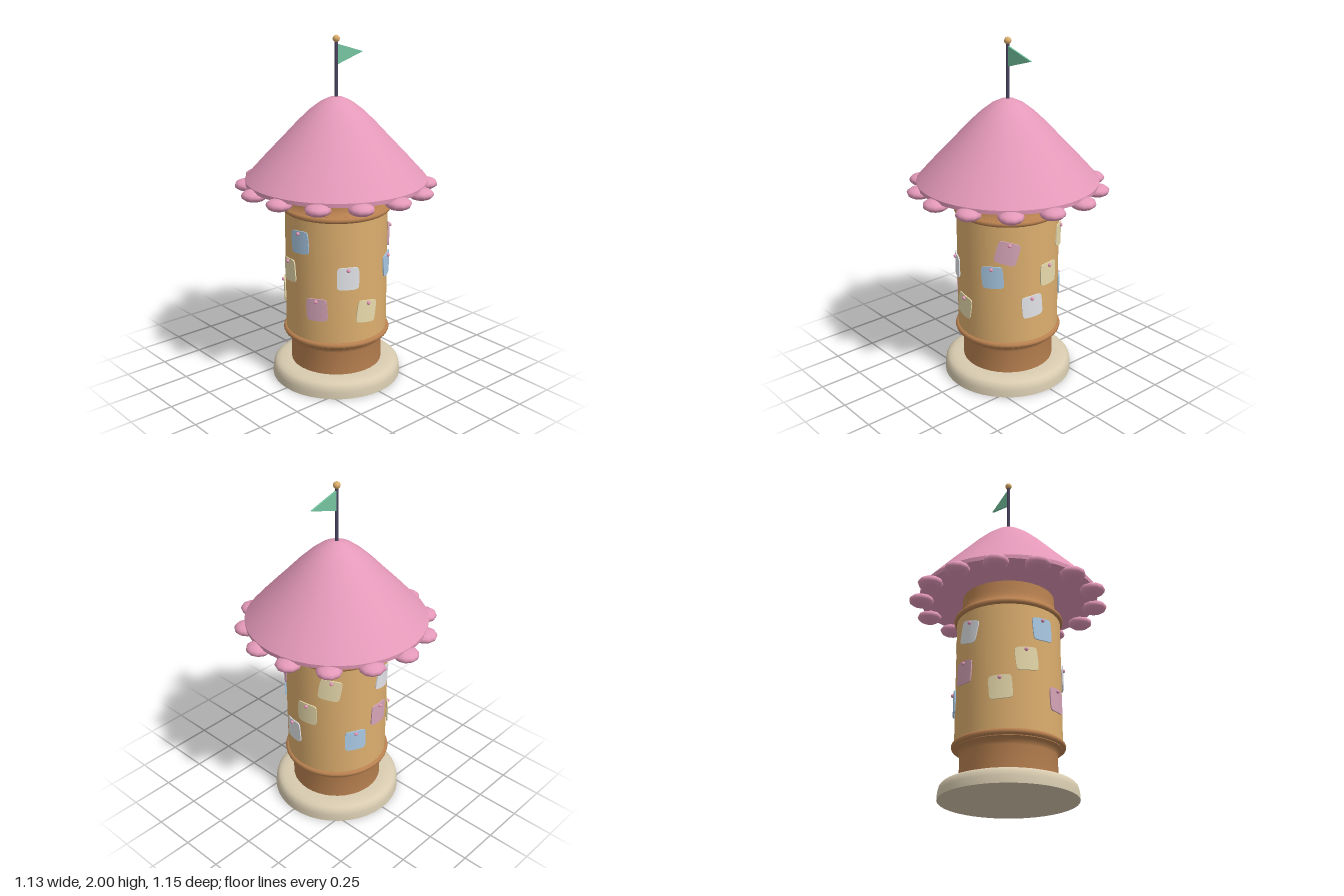
import * as THREE from 'three';
import { toCreasedNormals } from 'three/addons/utils/BufferGeometryUtils.js';

const paint = (name, color) => {
  const m = new THREE.MeshStandardMaterial({ color });
  m.name = name;
  return m;
};

export function createModel() {
  const model = new THREE.Group();
  model.name = 'noticeColumn';

  const stone = paint('stone', 0xd8cbb0);
  const wood = paint('brownWood', 0xb98150);
  const tan = paint('tanBoard', 0xdcae6e);
  const pink = paint('roofPink', 0xe499b9);
  const iron = paint('darkPole', 0x4a4460);
  const green = paint('flagGreen', 0x74c4a0);
  const papers = {
    white: paint('paperWhite', 0xe2e4e8),
    cream: paint('paperCream', 0xeee0b0),
    blue: paint('paperBlue', 0xa9c9e4),
    rose: paint('paperRose', 0xd6a5b8),
  };

  const add = (name, geometry, material, parent = model) => {
    const mesh = new THREE.Mesh(geometry, material);
    mesh.name = name;
    parent.add(mesh);
    return mesh;
  };
  // Turned part from [radius, height] pairs, listed bottom to top
  const lathe = (name, points, material, crease = 0.7) => {
    const g = new THREE.LatheGeometry(points.map(([r, y]) => new THREE.Vector2(r, y)), 40);
    return add(name, toCreasedNormals(g, crease), material);
  };

  // Base, column and drum
  lathe('base', [[0, 0], [0.38, 0], [0.378, 0.04], [0.372, 0.068], [0.357, 0.084],
    [0.33, 0.093], [0.29, 0.096], [0, 0.096]], stone);
  lathe('lowerColumn', [[0.266, 0.09], [0.266, 0.235], [0.27, 0.25], [0.28, 0.263],
    [0.295, 0.272], [0.295, 0.3]], wood);
  lathe('noticeDrum', [[0.295, 0.29], [0.295, 1.04]], tan);
  lathe('upperColumn', [[0.295, 1.03], [0.295, 1.055], [0.28, 1.068], [0.271, 1.09],
    [0.266, 1.12], [0.264, 1.19]], wood);
  for (const y of [0.292, 1.038]) {
    const ring = add('ring', new THREE.TorusGeometry(0.295, 0.017, 10, 48), wood);
    ring.rotation.x = Math.PI / 2;
    ring.position.y = y;
  }

  // Bell-shaped roof with a flat underside
  lathe('roof', [[0, 1.18], [0.515, 1.18], [0.517, 1.203], [0.48, 1.244], [0.4, 1.332],
    [0.3, 1.437], [0.22, 1.523], [0.15, 1.59], [0.09, 1.636], [0.04, 1.66], [0, 1.667]], pink, 0.6);

  // Bobbles around the eaves
  const bobbles = new THREE.Group();
  bobbles.name = 'eaveBobbles';
  model.add(bobbles);
  const bobbleShape = new THREE.SphereGeometry(0.072, 10, 8);
  bobbleShape.scale(1, 0.49, 1);
  for (let i = 0; i < 14; i++) {
    const a = (i / 14) * Math.PI * 2;
    const b = add('bobble', bobbleShape, pink, bobbles);
    b.position.set(0.505 * Math.sin(a), 1.164, 0.505 * Math.cos(a));
    b.rotation.y = a;
  }

  // Pole, ball and pennant
  add('pole', new THREE.CylinderGeometry(0.01, 0.01, 0.34, 10), iron).position.y = 1.81;
  add('ball', new THREE.SphereGeometry(0.02, 12, 10), tan).position.y = 1.98;
  const pennant = new THREE.Shape([[0.005, 1.84], [0.192, 1.896], [0.005, 1.952]]
    .map(([x, y]) => new THREE.Vector2(x, y)));
  add('pennant', new THREE.ExtrudeGeometry(pennant, { depth: 0.01, bevelEnabled: false }), green)
    .position.z = -0.005;

  // Paper notes: [angle, height, colour, tilt], angles in degrees from the front
  const notes = [
    [-28, 0.7, 'white', 0], [-6, 0.488, 'cream', -8], [33, 0.717, 'blue', 5],
    [49, 0.868, 'rose', -15], [-62, 0.508, 'rose', 3], [-83, 0.89, 'blue', 5],
    [-102, 0.7, 'cream', 6], [99, 0.705, 'cream', 0], [77, 0.53, 'white', 5],
    [126, 0.895, 'cream', -10], [154, 0.535, 'blue', 0], [193, 0.89, 'white', -14],
    [186, 0.66, 'rose', -4], [231, 0.535, 'cream', 4],
  ];
  // Thin sheet with softened corners, tilted and wrapped round the drum
  const noteShape = (tilt) => {
    const g = new THREE.BoxGeometry(2, 2, 0.007, 8, 8, 1);
    const p = g.attributes.position;
    for (let i = 0; i < p.count; i++) {
      const x = p.getX(i), y = p.getY(i);
      const soft = 1 - 0.09 * Math.pow(Math.abs(x * y), 5);
      const u = x * soft * 0.063, v = y * soft * 0.066;
      const a = (u * Math.cos(tilt) - v * Math.sin(tilt)) / 0.3;
      const r = 0.303 + p.getZ(i);
      p.setXYZ(i, r * Math.sin(a), u * Math.sin(tilt) + v * Math.cos(tilt), r * Math.cos(a));
    }
    return toCreasedNormals(g, 0.7);
  };
  const pinShape = new THREE.SphereGeometry(0.011, 10, 8);
  for (const [angle, y, colour, tiltDegrees] of notes) {
    const tilt = THREE.MathUtils.degToRad(tiltDegrees);
    const note = new THREE.Group();
    note.name = 'note';
    note.position.y = y;
    note.rotation.y = THREE.MathUtils.degToRad(angle);
    model.add(note);
    add('paper', noteShape(tilt), papers[colour], note);
    const a = (-0.05 * Math.sin(tilt)) / 0.3;
    add('pin', pinShape, pink, note)
      .position.set(0.309 * Math.sin(a), 0.05 * Math.cos(tilt), 0.309 * Math.cos(a));
  }

  return model;
}
